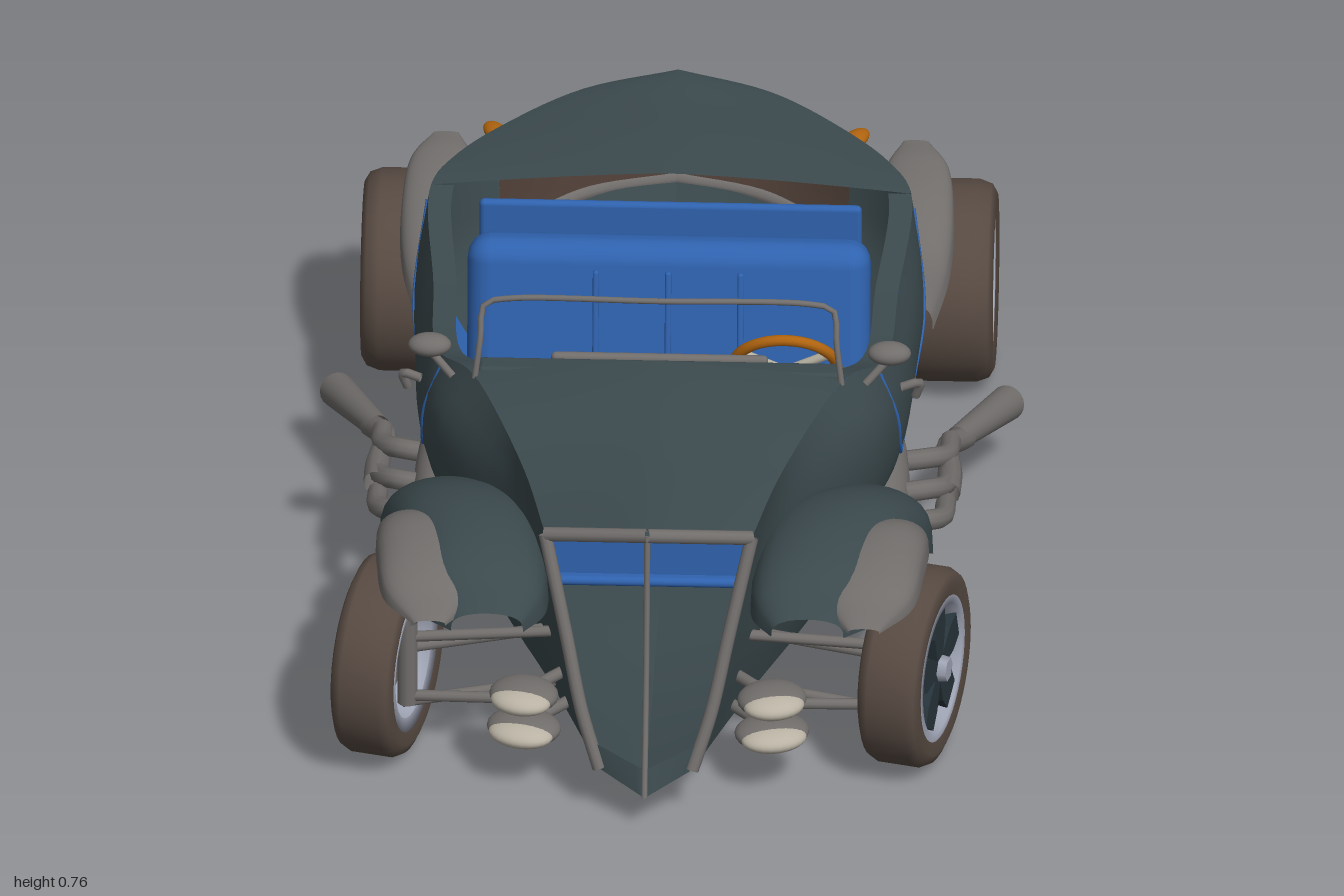
import * as THREE from 'three';
import { RoundedBoxGeometry } from 'three/addons/geometries/RoundedBoxGeometry.js';

const paint = (name, color, open) => {
  const m = new THREE.MeshStandardMaterial({ color });
  m.name = name;
  if (open) m.side = THREE.DoubleSide;
  return m;
};
const M = {
  body: paint('slate body', 0x3b494d, true), blue: paint('blue trim', 0x2f62ae, true),
  tyre: paint('brown rubber', 0x574a42), brown: paint('brown panel', 0x4a3b33, true),
  grey: paint('grey metal', 0x706d6b, true), rim: paint('pale rim', 0x9fa4b4, true),
  dark: paint('dark spoke', 0x27343b), orange: paint('orange', 0xb0640f), cream: paint('cream', 0xb9b2a4),
};
const V = (x, y, z) => new THREE.Vector3(x, y, z);
const lerp = THREE.MathUtils.lerp;

function add(parent, name, geo, mat, pos = [0, 0, 0], rot = [0, 0, 0], scale = [1, 1, 1]) {
  const m = new THREE.Mesh(geo, mat);
  m.name = name;
  m.position.set(...pos); m.rotation.set(...rot); m.scale.set(...scale);
  parent.add(m);
}
// smooth grid surface from f(u, v), both 0..1
function surf(nu, nv, f) {
  const pos = [], idx = [];
  for (let i = 0; i <= nu; i++) for (let j = 0; j <= nv; j++) {
    pos.push(...f(i / nu, j / nv).toArray());
    if (i < nu && j < nv) {
      const a = i * (nv + 1) + j, b = a + nv + 1;
      idx.push(a, a + 1, b, b, a + 1, b + 1);
    }
  }
  const g = new THREE.BufferGeometry();
  g.setAttribute('position', new THREE.Float32BufferAttribute(pos, 3));
  g.setIndex(idx);
  g.computeVertexNormals();
  return g;
}
const curve = pts => new THREE.CatmullRomCurve3(pts.map(p => p.isVector3 ? p : V(...p)));
const tube = (p, name, pts, r, mat) =>
  add(p, name, new THREE.TubeGeometry(curve(pts), Math.max(2, pts.length * 6 - 10), r, 10), mat);
const rod = (p, name, a, b, r, mat) => tube(p, name, [a, b], r, mat);
const ball = (p, name, pos, scale, mat, rot) => add(p, name, new THREE.SphereGeometry(1, 24, 16), mat, pos, rot, scale);

// body stations, nose to tail: sill z, top z, centre lead, sill x, sill y, waist x, top x, top y, crown y
const stations = [
  [.93, .78, .06, .09, .105, .155, .2, .54, .575],
  [.6, .58, 0, .19, .09, .24, .25, .57, .6],
  [.28, .28, 0, .31, .1, .42, .36, .605, .64],
  [.12, .12, 0, .34, .105, .462, .435, .565, .64],
  [-.1, -.1, 0, .35, .115, .48, .45, .585, .65],
  [-.34, -.37, 0, .3, .14, .478, .465, .645, .68],
  [-.43, -.47, -.03, .23, .19, .41, .42, .655, .69],
  [-.49, -.585, -.03, .17, .26, .29, .32, .665, .695],
  [-.52, -.69, -.01, .1, .29, .17, .18, .68, .7],
  [-.54, -.735, 0, 0, .3, 0, 0, .7, .7],
];
// section points: keel, sill, low side, waist, shoulder, top edge, crown
const section = ([zs, zt, lead, sx, sy, mx, tx, ty, cy]) => {
  const p = (x, k) => V(x, lerp(sy, ty, k), lerp(zs, zt, k));
  return [V(0, sy - .03, zs + lead), p(sx, 0), p(lerp(sx, mx, .55), .25), p(mx, .55),
    p(Math.max(mx, lerp(mx, tx, .55)), .8), p(tx, 1), V(0, cy, zt + lead)];
};
const sections = stations.map(section);
const lines = sections[0].map((_, k) => curve(sections.map(s => s[k])));
const at = (k, s) => lines[k].getPoint(s / 9);
const side = (s, v) => curve([1, 2, 3, 4, 5].map(k => at(k, s))).getPoint(v);
const patch = (s0, s1, v0, v1, inset = 0) => surf(Math.ceil((s1 - s0) * 6), 14, (u, v) => {
  const p = side(lerp(s0, s1, u), lerp(v0, v1, v));
  p.x = Math.max(0, p.x - inset);
  return p;
});
// crowned panel spanning both top edges
const crown = (s0, s1) => surf(24, 20, (u, v) => {
  const s = lerp(s0, s1, u), t = at(5, s), c = at(6, s), w = v * 2 - 1, k = Math.pow(Math.abs(w), 1.4);
  return V(t.x * w, lerp(c.y, t.y, k), lerp(c.z, t.z, k));
});
// arched fender: rows of [z, y, inner x, outer x, drop]
function arch(rows) {
  const a = curve(rows.map(r => [r[2], r[1], r[0]])), b = curve(rows.map(r => [r[3], r[1] - r[4], r[0]]));
  return surf(30, 16, (u, v) => {
    const p = a.getPoint(u), q = b.getPoint(u), t = v * Math.PI;
    return V(lerp(p.x, q.x, .5 - .5 * Math.cos(t)), lerp(q.y, p.y, Math.pow(Math.max(0, Math.sin(t)), .6)), p.z);
  });
}

function wheel(width) {
  const g = new THREE.Group(), h = width / 2, turn = [0, 0, -Math.PI / 2];
  const lathe = pts => new THREE.LatheGeometry(pts.map(p => new THREE.Vector2(p[0], p[1] * h)), 40);
  add(g, 'tyre', lathe([[.14, -.9], [.17, -1], [.188, -.88], [.197, -.6], [.197, .6], [.188, .88], [.17, 1], [.14, .9]]), M.tyre, [0, 0, 0], turn);
  add(g, 'rim', lathe([[.118, -.85], [.145, -.92], [.12, -.6], [.115, .5], [.128, .92], [.145, .93]]), M.rim, [0, 0, 0], turn);
  add(g, 'brakeDisc', new THREE.CylinderGeometry(.085, .085, .02, 32), M.grey, [0, 0, 0], turn);
  const s = new THREE.Shape([[-.017, .02], [.017, .02], [.034, .08], [.03, .12], [-.03, .12], [-.034, .08]].map(p => new THREE.Vector2(...p)));
  const spoke = new THREE.ExtrudeGeometry(s, { depth: .025, bevelEnabled: false }).rotateY(Math.PI / 2);
  for (let i = 0; i < 5; i++) add(g, 'spoke', spoke, M.dark, [h * .45, 0, 0], [i * Math.PI * .4, 0, 0]);
  add(g, 'hub', new THREE.CylinderGeometry(.024, .03, .045, 6), M.rim, [h * .45 + .02, 0, 0], turn);
  return g;
}

function halfCar() {
  const g = new THREE.Group();
  // body shell
  add(g, 'bodySide', patch(0, 6.7, 0, 1), M.body);
  add(g, 'tailLower', patch(6.7, 9, 0, .5), M.body);
  add(g, 'tailPanel', patch(6.7, 9, .5, .92), M.brown);
  add(g, 'deckLip', patch(6.7, 9, .92, 1), M.body);
  add(g, 'belly', surf(50, 2, (u, v) => at(0, u * 9).lerp(at(1, u * 9), v)), M.body);
  add(g, 'cockpitRim', surf(24, 1, (u, v) => { const p = at(5, 2 + u * 3); p.x -= v * .045; return p; }), M.body);
  add(g, 'doorLining', patch(2, 5, .1, .99, .04), M.blue);
  tube(g, 'doorSeam', [[2.7, .96], [2.75, .7], [3, .5], [3.4, .43], [4.2, .47], [4.6, .6], [4.9, .96]].map(p => side(...p)), .004, M.blue);
  // grille frame
  tube(g, 'grilleSide', [0, .25, .5, .75, 1].map(v => side(0, v)), .013, M.grey);
  tube(g, 'grilleTop', [at(5, 0), at(6, 0)], .014, M.grey);
  // fenders
  add(g, 'frontFender', arch([[.85, .4, .24, .38, .04], [.78, .46, .2, .45, .1], [.65, .49, .2, .48, .13], [.5, .48, .22, .515, .14],
    [.36, .42, .26, .535, .15], [.1, .25, .34, .44, .08]]), M.body);
  add(g, 'frontFenderCap', arch([[.865, .39, .39, .45, .01], [.8, .445, .34, .51, .05], [.68, .475, .34, .53, .07],
    [.57, .465, .38, .535, .08], [.37, .31, .48, .52, .04]]), M.grey);
  add(g, 'rearFender', arch([[-.875, .47, .43, .48, .005], [-.81, .47, .4, .52, .03], [-.7, .445, .39, .535, .05],
    [-.6, .39, .39, .53, .07], [-.54, .3, .4, .5, .06]]), M.grey);
  tube(g, 'fenderStay', [[.3, .25, -.47], [.39, .28, -.55], [.43, .36, -.6]], .018, M.grey);
  // exhaust
  ball(g, 'exhaustScoop', [.42, .265, .14], [.06, .06, .27], M.grey, [.12, 0, 0]);
  for (const z of [.26, .14, .02]) tube(g, 'headerPipe', [[.44, .27, z], [.51, .27, z - .02], [.545, .25, z - .07], [.55, .23, z - .16]], .02, M.grey);
  tube(g, 'collector', [[.555, .25, .1], [.555, .235, 0], [.545, .22, -.13], [.575, .19, -.22]], .023, M.grey);
  add(g, 'tailpipe', new THREE.CylinderGeometry(.035, .024, .25, 20, 1, true), M.grey, [.605, .175, -.31], [-Math.PI / 2 - .22, 0, -.36]);
  // front bumper pods
  for (const [y, s] of [[.198, 1], [.125, 1.08]]) {
    ball(g, 'bumperPod', [.24, y, .81], [.068 * s, .028, .06], M.grey, [0, .3, 0]);
    ball(g, 'bumperFace', [.245, y, .835], [.06 * s, .024, .045], M.cream, [0, .3, 0]);
    rod(g, 'podStay', [.15, y, .7], [.23, y, .79], .012, M.grey);
  }
  // front suspension
  for (const [y, z] of [[.265, .68], [.24, .62], [.135, .72], [.12, .62]]) rod(g, 'frontArm', [.18, y, z], [.48, y - .02, .68], .011, M.grey);
  rod(g, 'frontUpright', [.47, .1, .68], [.47, .28, .68], .02, M.grey);
  // mirror, handle, windscreen half
  ball(g, 'mirror', [.445, .632, .22], [.042, .022, .03], M.grey);
  rod(g, 'mirrorStem', [.4, .58, .25], [.44, .62, .23], .008, M.grey);
  tube(g, 'doorHandle', [[.465, .51, .14], [.5, .515, .13], [.492, .48, .12]], .009, M.grey);
  tube(g, 'windscreenFrame', [[.355, .6, .29], [.345, .68, .275], [.338, .742, .25], [.3, .755, .25], [0, .762, .26]], .006, M.grey);
  // tail lights and rear bumper
  for (const y of [.585, .622]) ball(g, 'tailLight', [.345, y, -.61], [.022, .015, .045], M.orange, [0, -.5, 0]);
  tube(g, 'rearBumper', [6.4, 7, 7.6, 8.2, 9].map(s => side(s, .47).add(V(0, 0, -.015))), .017, M.grey);
  // rear axle half and links
  rod(g, 'axleTube', [.05, .2, -.8], [.48, .2, -.8], .027, M.grey);
  rod(g, 'trailingLink', [.2, .17, -.45], [.38, .15, -.8], .015, M.grey);
  rod(g, 'upperLink', [.25, .28, -.5], [.2, .25, -.8], .013, M.brown);
  rod(g, 'shock', [.31, .42, -.6], [.335, .17, -.82], .026, M.grey);
  add(g, 'hubCarrier', new THREE.CylinderGeometry(.06, .05, .06, 20), M.grey, [.43, .2, -.8], [0, 0, Math.PI / 2]);
  return g;
}

export function createModel() {
  const car = new THREE.Group();
  car.name = 'roadster';
  const left = halfCar(), right = left.clone();
  left.name = 'leftHalf'; right.name = 'rightHalf';
  right.scale.x = -1;
  car.add(left, right);

  // hood, rear deck, nose
  add(car, 'hood', crown(0, 2), M.body);
  add(car, 'rearDeck', crown(5, 9), M.body);
  add(car, 'noseLip', surf(3, 12, (u, v) => {
    const p = side(0, u * .12), w = v * 2 - 1, k = 1 - Math.abs(w);
    return V(p.x * w, p.y - .03 * k, p.z + .06 * k);
  }), M.body);
  tube(car, 'grilleBar', [at(6, 0), [0, .46, .86], [0, .26, .91], at(0, 0)], .006, M.grey);

  // cockpit
  const box = (name, w, h, d, pos, mat, r = .01, rot) => add(car, name, new RoundedBoxGeometry(w, h, d, 3, r), mat, pos, rot);
  box('floor', .64, .02, .62, [0, .14, -.03], M.blue);
  box('firewall', .66, .48, .02, [0, .365, .25], M.blue);
  box('rearBulkhead', .74, .42, .02, [0, .42, -.345], M.blue);
  box('transmissionTunnel', .16, .16, .3, [0, .21, .1], M.blue, .03);
  box('seatCushion', .74, .2, .3, [0, .26, -.08], M.blue, .05);
  box('seatBack', .78, .32, .1, [0, .43, -.255], M.blue, .045, [-.18, 0, 0]);
  for (const x of [-.14, 0, .14]) box('seatPleat', .012, .22, .1, [x, .43, -.245], M.blue, .005, [-.18, 0, 0]);
  box('dashboard', .7, .07, .05, [0, .575, .245], M.body);
  box('instrumentPanel', .42, .065, .02, [0, .585, .215], M.grey);
  for (let i = -2; i <= 2; i++) add(car, 'gauge', new THREE.CylinderGeometry(.025, .025, .008, 20), M.brown, [i * .075, .585, .203], [Math.PI / 2, 0, 0]);
  const helm = new THREE.Group();
  helm.name = 'steeringWheel';
  helm.position.set(.24, .54, .12);
  helm.rotation.x = .52;
  add(helm, 'steeringRing', new THREE.TorusGeometry(.1, .011, 10, 40), M.orange);
  for (let i = 0; i < 3; i++) {
    const a = Math.PI / 6 + i * Math.PI * 2 / 3;
    rod(helm, 'steeringSpoke', [0, 0, .01], [.1 * Math.cos(a), .1 * Math.sin(a), 0], .009, M.cream);
  }
  rod(helm, 'steeringColumn', [0, 0, .01], [0, 0, .16], .014, M.orange);
  car.add(helm);

  // differential
  ball(car, 'differential', [0, .2, -.8], [.1, .085, .075], M.grey);
  for (const x of [-.07, 0, .07]) add(car, 'differentialRib', new THREE.CylinderGeometry(.085, .085, .015, 20), M.grey, [x, .2, -.8], [0, 0, Math.PI / 2]);
  rod(car, 'driveShaft', [0, .19, -.45], [0, .2, -.75], .025, M.brown);

  // wheels, the front pair steered
  for (const s of [1, -1]) for (const front of [true, false]) {
    const pivot = new THREE.Group(), w = wheel(front ? .125 : .175);
    pivot.name = front ? 'frontWheel' : 'rearWheel';
    pivot.position.set(s * (front ? .51 : .525), .2, front ? .67 : -.805);
    if (front) pivot.rotation.y = -.26;
    w.scale.x = s;
    pivot.add(w);
    car.add(pivot);
  }
  return car;
}
